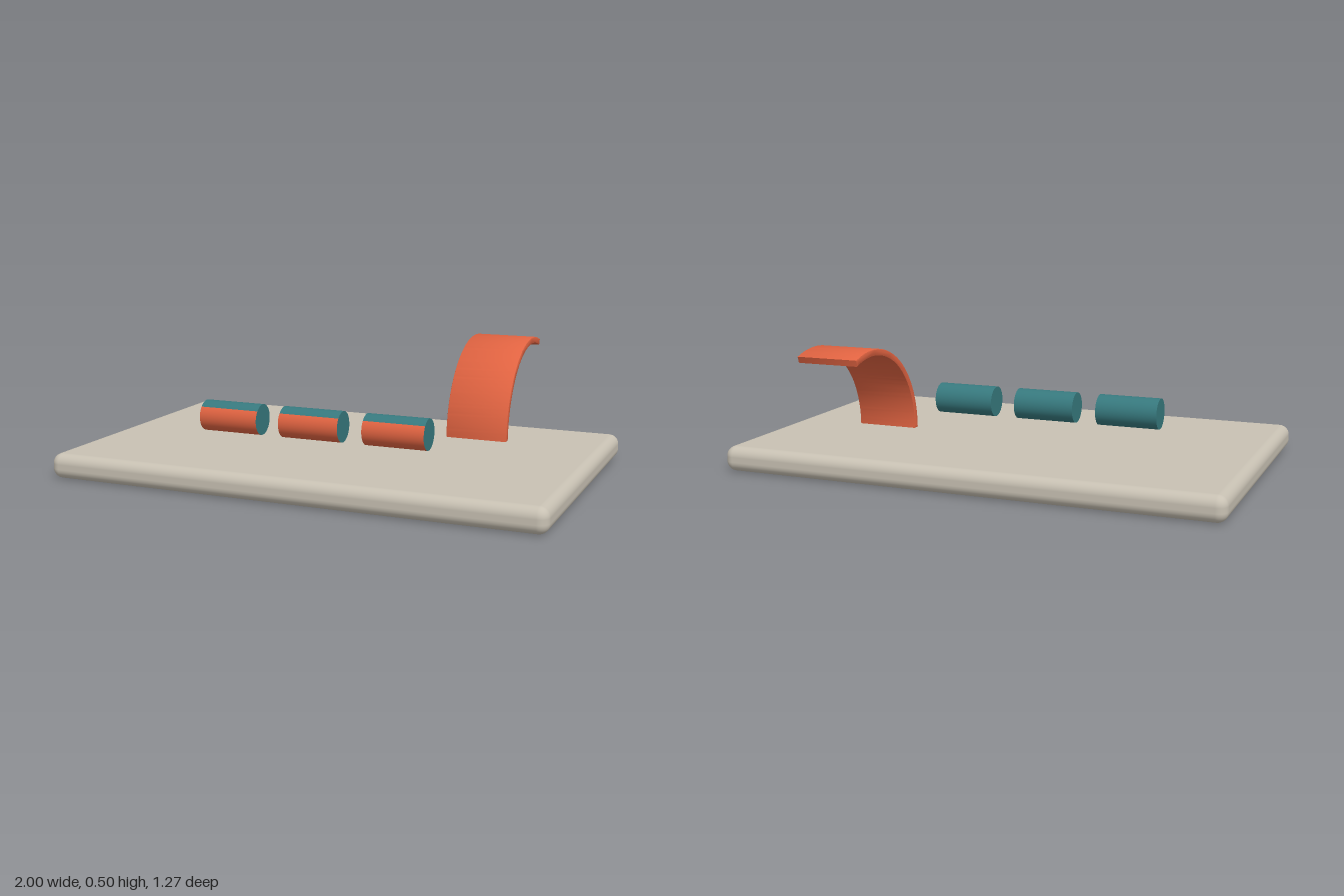
import * as THREE from 'three';
import { toCreasedNormals } from 'three/addons/utils/BufferGeometryUtils.js';
import { RoundedBoxGeometry } from 'three/addons/geometries/RoundedBoxGeometry.js';

const material = (name, color) => {
  const m = new THREE.MeshStandardMaterial({ color });
  m.name = name;
  return m;
};
const rad = THREE.MathUtils.degToRad;

export function createModel() {
  const stone = material('warm grey', 0xc8c1b3);
  const orange = material('orange', 0xe06341);
  const teal = material('teal', 0x37797e);

  const model = new THREE.Group();
  const add = (parent, name, geometry, mat) => {
    const mesh = new THREE.Mesh(geometry, mat);
    mesh.name = name;
    parent.add(mesh);
    return mesh;
  };

  // Base slab with rounded edges
  add(model, 'baseSlab', new RoundedBoxGeometry(2, 0.1, 1.256, 5, 0.04), stone)
    .position.set(0, 0.05, 0.006);

  // Three floating rollers: teal, with an orange front face
  const radius = 0.063, length = 0.256;
  const sector = (from, to, segments) =>
    new THREE.CylinderGeometry(radius, radius, length, segments, 1, false, rad(from), rad(to - from))
      .rotateZ(Math.PI / 2);
  for (const x of [-0.43, -0.075, 0.284]) {
    const roller = new THREE.Group();
    roller.name = 'roller';
    roller.position.set(x, 0.2025, 0.15);
    add(roller, 'rollerFace', sector(-95, 42, 20), [orange, teal, teal]);
    add(roller, 'rollerBody', sector(42, 265, 32), teal);
    model.add(roller);
  }

  // Curved band rising over the back edge
  const outer = 0.372, thickness = 0.026, sweep = rad(110), width = 0.252, bevel = 0.004;
  const arc = new THREE.Shape();
  arc.absarc(0, 0, outer - bevel, bevel / outer, sweep - bevel / outer, false);
  arc.absarc(0, 0, outer - thickness + bevel, sweep - bevel / outer, bevel / outer, true);
  arc.closePath();
  const depth = width - 2 * bevel;
  const band = new THREE.ExtrudeGeometry(arc, {
    depth, curveSegments: 40, bevelEnabled: true,
    bevelThickness: bevel, bevelSize: bevel, bevelSegments: 2,
  });
  band.translate(0, 0, -depth / 2).rotateY(-Math.PI / 2);
  add(model, 'curvedBand', toCreasedNormals(band, rad(35)), orange)
    .position.set(0.512, 0.132, -0.508);

  return model;
}
